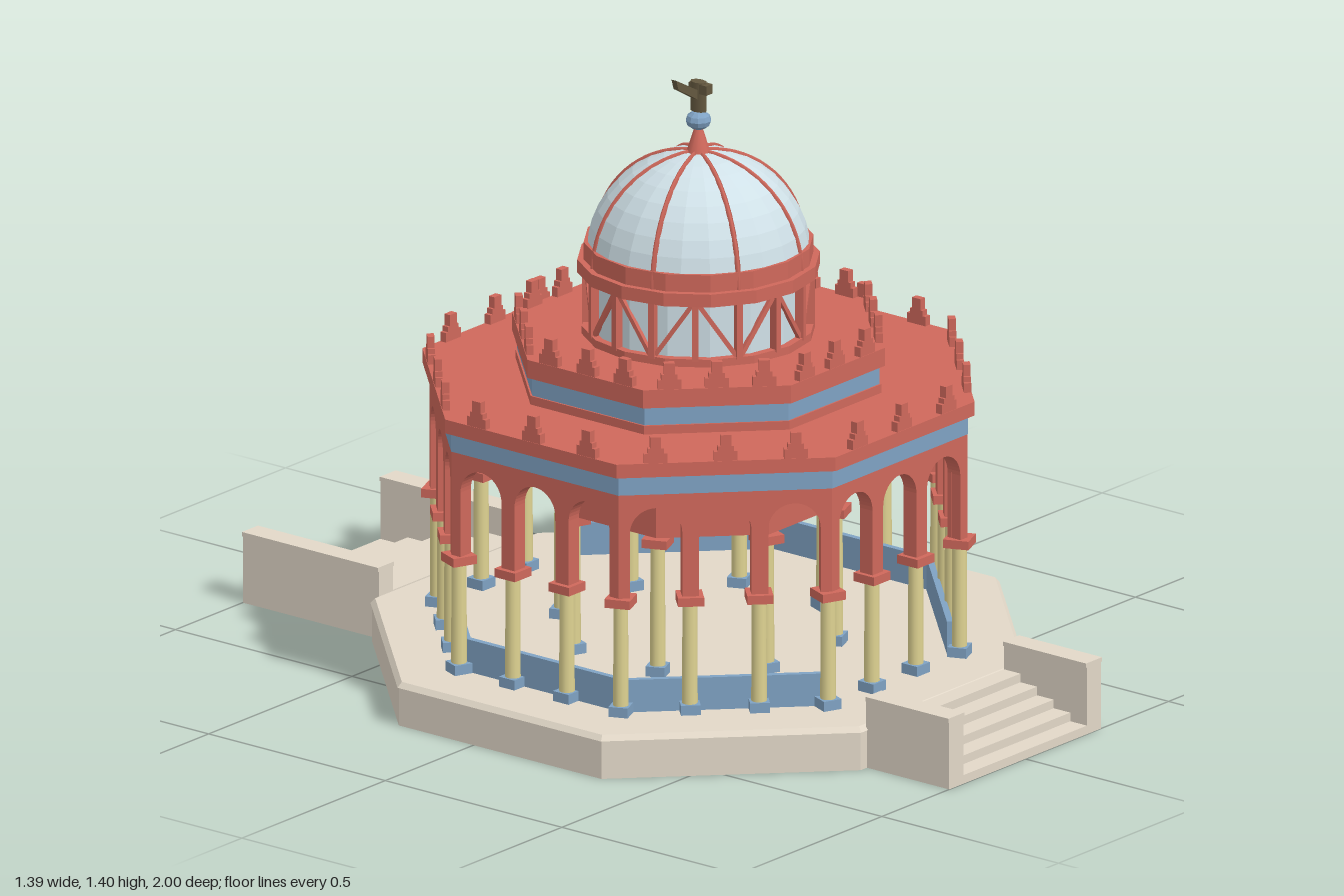
import * as THREE from 'three';

const mat = (name, color) => {
  const m = new THREE.MeshStandardMaterial({ color });
  m.name = name;
  return m;
};
const red = mat('terracotta red', 0xcf685b);
const blue = mat('slate blue', 0x7fa2c3);
const stone = mat('pale stone', 0xe2d8c8);
const cream = mat('ochre yellow', 0xdfd392);
const glass = mat('pale glass', 0xcfe0e7);
const bronze = mat('dark bronze', 0x64583f);

const flat = (g) => {
  const f = g.index ? g.toNonIndexed() : g;
  f.computeVertexNormals();
  return f;
};

function add(parent, name, geometry, material, x = 0, y = 0, z = 0) {
  const mesh = new THREE.Mesh(geometry, material);
  mesh.name = name;
  mesh.position.set(x, y, z);
  parent.add(mesh);
  return mesh;
}

// Box given by its bottom and top heights
const box = (parent, name, m, w, y0, y1, d, x = 0, z = 0) =>
  add(parent, name, new THREE.BoxGeometry(w, y1 - y0, d), m, x, (y0 + y1) / 2, z);

// Octagonal prism or frustum given by the distance from centre to flat side
function octagon(parent, name, m, apothem, y0, y1, topApothem = apothem) {
  const k = 1 / Math.cos(Math.PI / 8);
  const g = new THREE.CylinderGeometry(topApothem * k, apothem * k, y1 - y0, 8);
  g.rotateY(Math.PI / 8);
  return add(parent, name, flat(g), m, 0, (y0 + y1) / 2, 0);
}

// Sixteen-sided drum course
const drumCourse = (parent, name, m, r, y0, y1) =>
  add(parent, name, flat(new THREE.CylinderGeometry(r, r, y1 - y0, 16)), m, 0, (y0 + y1) / 2, 0);

// Calls build once for each side of a ring; +z points outward
function eachSide(parent, name, build, count = 8, offset = 0) {
  for (let i = 0; i < count; i++) {
    const side = new THREE.Group();
    side.name = name;
    side.rotation.y = offset + (i * Math.PI * 2) / count;
    build(side, i);
    parent.add(side);
  }
}

// One column with base and capital
function column(parent, x, z, top, turn = 0) {
  const c = new THREE.Group();
  c.name = 'column';
  c.position.set(x, 0, z);
  c.rotation.y = turn;
  box(c, 'columnBase', blue, 0.044, 0.1, 0.123, 0.044);
  add(c, 'columnShaft', new THREE.CylinderGeometry(0.0165, 0.0175, top - 0.143, 12), cream, 0, (top + 0.103) / 2, 0);
  box(c, 'columnCapital', red, 0.058, top - 0.02, top, 0.058);
  parent.add(c);
}

// Stepped merlons along the edge of a roof
function merlons(parent, apothem, y, spacing) {
  eachSide(parent, 'battlement', (side) => {
    for (const k of [-1, 0, 1]) {
      box(side, 'merlonFoot', red, 0.052, y, y + 0.022, 0.016, k * spacing, apothem);
      box(side, 'merlonMiddle', red, 0.036, y + 0.022, y + 0.034, 0.016, k * spacing, apothem);
      box(side, 'merlonTip', red, 0.024, y + 0.034, y + 0.06, 0.016, k * spacing, apothem);
    }
  });
}

// Three arches in one panel
function arcadeGeometry() {
  const s = new THREE.Shape();
  const h = 0.236, r = 0.058, foot = 0.37, spring = 0.525;
  s.moveTo(-h, foot);
  s.lineTo(-h, 0.62);
  s.lineTo(h, 0.62);
  s.lineTo(h, foot);
  for (const c of [0.153, 0, -0.153]) {
    s.lineTo(c + r, foot);
    s.lineTo(c + r, spring);
    s.absarc(c, spring, r, 0, Math.PI, false);
    s.lineTo(c - r, foot);
  }
  return new THREE.ExtrudeGeometry(s, { depth: 0.036, bevelEnabled: false, curveSegments: 10 });
}

// Stairs between two low walls, running outward from z0 to z1
function stairs(parent, name, z0, z1) {
  const g = new THREE.Group();
  g.name = name;
  const length = z1 - z0, n = 5, run = length / n, dir = Math.sign(length);
  for (let i = 0; i < n; i++) {
    const top = 0.1 - 0.02 * i;
    box(g, 'tread', stone, 0.43, top - 0.012, top, Math.abs(run), 0, z0 + run * (i + 0.5));
    box(g, 'riser', stone, 0.43, top - 0.02, top, 0.012, 0, z0 + run * (i + 1) - dir * 0.006);
  }
  for (const s of [-1, 1]) {
    box(g, 'stairWall', stone, 0.05, 0, 0.16, Math.abs(length), s * 0.24, (z0 + z1) / 2);
    box(g, 'stairWallCap', stone, 0.056, 0.155, 0.165, Math.abs(length), s * 0.24, (z0 + z1) / 2);
  }
  parent.add(g);
}

export function createModel() {
  const model = new THREE.Group();
  model.name = 'pavilion';
  const p = new THREE.Group();
  p.name = 'octagonalBuilding';
  p.position.z = 0.075;
  model.add(p);

  // Platform and stairs
  octagon(p, 'platform', stone, 0.692, 0, 0.088);
  octagon(p, 'platformEdge', stone, 0.695, 0.088, 0.1, 0.685);
  stairs(model, 'frontStairs', 0.765, 1);
  stairs(model, 'backStairs', -0.615, -1);

  // Outer arcade, with low walls on all but the entrance sides
  const arcade = arcadeGeometry();
  eachSide(p, 'arcadeSide', (side, i) => {
    add(side, 'arches', arcade, red, 0, 0, 0.534);
    column(side, -0.0765, 0.553, 0.375);
    column(side, 0.0765, 0.553, 0.375);
    column(side, 0.229, 0.553, 0.375, Math.PI / 8);
    if (i % 4 !== 0) box(side, 'lowWall', blue, 0.44, 0.1, 0.175, 0.014, 0, 0.533);
  });

  // Inner columns carrying a solid inner wall
  eachSide(p, 'innerSide', (side) => {
    column(side, 0.12, 0.29, 0.42, Math.PI / 8);
    box(side, 'innerWall', red, 0.25, 0.42, 0.62, 0.025, 0, 0.289);
  });

  // Lower roof
  octagon(p, 'lowerFrieze', blue, 0.571, 0.615, 0.66);
  octagon(p, 'ceiling', red, 0.56, 0.61, 0.62);
  octagon(p, 'lowerCornice', red, 0.585, 0.66, 0.692);
  merlons(p, 0.576, 0.692, 0.155);

  // Upper tier
  octagon(p, 'upperWall', red, 0.388, 0.69, 0.712);
  octagon(p, 'upperFrieze', blue, 0.384, 0.712, 0.755);
  octagon(p, 'upperCornice', red, 0.395, 0.755, 0.797);
  merlons(p, 0.386, 0.797, 0.105);

  // Glazed drum with braced frame
  drumCourse(p, 'drumGlass', glass, 0.24, 0.79, 0.945);
  drumCourse(p, 'drumFoot', red, 0.258, 0.79, 0.815);
  const bay = Math.PI / 8;
  eachSide(p, 'drumBay', (side, i) => {
    box(side, 'drumPost', red, 0.014, 0.81, 0.945, 0.022, 0, 0.245);
    const braceBay = new THREE.Group();
    braceBay.name = 'braceBay';
    braceBay.rotation.y = bay / 2;
    const brace = box(braceBay, 'brace', red, 0.01, 0.805, 0.952, 0.01, 0, 0.242);
    brace.rotation.z = i % 2 ? 0.6 : -0.6;
    side.add(braceBay);
  }, 16, THREE.MathUtils.degToRad(15));
  drumCourse(p, 'drumRing', red, 0.268, 0.94, 0.97);
  drumCourse(p, 'domeRing', red, 0.254, 0.97, 1.01);

  // Ribbed dome
  const dome = new THREE.SphereGeometry(0.249, 24, 10, 0, Math.PI * 2, 0, Math.PI / 2);
  add(p, 'dome', flat(dome), glass, 0, 0.966, 0);
  const ribGeometry = new THREE.TorusGeometry(0.247, 0.007, 4, 18, Math.PI / 2);
  for (let i = 0; i < 8; i++) {
    const rib = add(p, 'domeRib', ribGeometry, red, 0, 0.966, 0);
    rib.rotation.y = THREE.MathUtils.degToRad(15 + 45 * i - 90);
  }

  // Finial with a small winged figure
  add(p, 'finialCone', new THREE.CylinderGeometry(0.009, 0.028, 0.06, 12), red, 0, 1.238, 0);
  add(p, 'finialBall', flat(new THREE.SphereGeometry(0.029, 10, 6)), blue, 0, 1.285, 0).scale.y = 0.75;
  const body = add(p, 'figureBody', new THREE.CylinderGeometry(0.014, 0.014, 0.068, 8), bronze, 0, 1.341, 0);
  body.scale.z = 1.5;
  box(p, 'figureShoulders', bronze, 0.022, 1.35, 1.372, 0.05, 0, 0.006);
  const wing = new THREE.Shape();
  wing.moveTo(0, 1.33);
  wing.lineTo(-0.005, 1.355);
  wing.lineTo(-0.086, 1.4);
  wing.lineTo(-0.078, 1.376);
  add(p, 'figureWing', new THREE.ExtrudeGeometry(wing, { depth: 0.014, bevelEnabled: false }), bronze, 0, 0, -0.007);

  return model;
}
